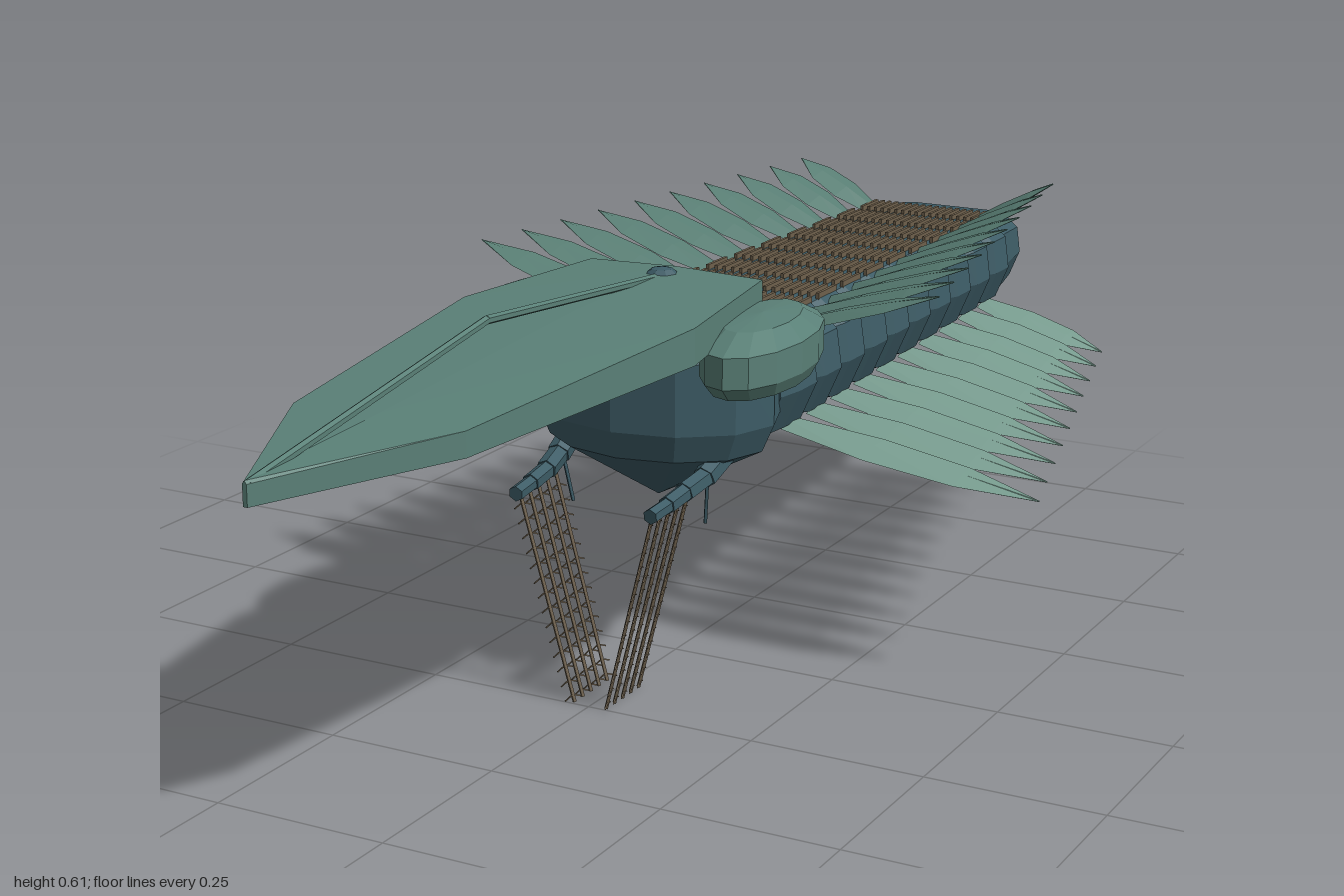
import * as THREE from 'three';
import { mergeGeometries } from 'three/addons/utils/BufferGeometryUtils.js';

const V = (x, y, z) => new THREE.Vector3(x, y, z);
const paint = (color) => new THREE.MeshStandardMaterial({ color, flatShading: true });

// Skin over closed cross-sections, ordered by rising z, each counter-clockwise seen from +z
function loft(rings) {
  const n = rings[0].length, pos = [];
  const tri = (...pts) => pts.forEach((p) => pos.push(p.x, p.y, p.z));
  for (let i = 0; i + 1 < rings.length; i++) {
    for (let j = 0; j < n; j++) {
      const k = (j + 1) % n;
      const [a, b, c, d] = [rings[i][j], rings[i][k], rings[i + 1][k], rings[i + 1][j]];
      tri(a, b, c);
      tri(a, c, d);
    }
  }
  const first = rings[0], last = rings[rings.length - 1];
  for (let j = 1; j + 1 < n; j++) {
    tri(first[0], first[j + 1], first[j]);
    tri(last[0], last[j], last[j + 1]);
  }
  const g = new THREE.BufferGeometry();
  g.setAttribute('position', new THREE.Float32BufferAttribute(pos, 3));
  g.computeVertexNormals();
  return g;
}

// Straight thin rod between two points
function rod(a, b, r, sides = 4) {
  const d = b.clone().sub(a);
  const g = new THREE.CylinderGeometry(r, r, d.length(), sides);
  g.applyQuaternion(new THREE.Quaternion().setFromUnitVectors(V(0, 1, 0), d.normalize()));
  return g.translate((a.x + b.x) / 2, (a.y + b.y) / 2, (a.z + b.z) / 2);
}

// Eight-sided trunk section of half width w
const trunkRing = (z, w, top, bottom) => {
  const h = top - bottom;
  return [[0.7, 1], [-0.7, 1], [-0.95, 0.8], [-1, 0.45], [-0.85, 0.1], [-0.5, 0], [0.5, 0], [0.85, 0.1], [1, 0.45], [0.95, 0.8]]
    .map(([x, y]) => V(x * w, bottom + y * h, z));
};

// Thin pointed blade along +z with a raised midrib
function bladeGeometry(length, half) {
  const ring = (t, w, th) => [V(w, 0, t * length), V(0, th, t * length), V(-w, 0, t * length), V(0, -th, t * length)];
  return loft([ring(0, half * 0.6, 0.006), ring(0.35, half, 0.007), ring(0.7, half * 0.85, 0.005), ring(1, 0.001, 0.001)]);
}

export function createModel() {
  const model = new THREE.Group();
  const skin = paint(0x3d5c66), shell = paint(0x5a8077), upperSkin = paint(0x587d73);
  const lowerSkin = paint(0x789c8f), hair = paint(0x6e604c);
  const add = (name, geometry, material) => {
    const mesh = new THREE.Mesh(geometry, material);
    mesh.name = name;
    model.add(mesh);
    return mesh;
  };

  const SEGMENTS = 10, step = 0.0867;
  const segZ = (i) => -0.075 - i * step;
  const mix = THREE.MathUtils.lerp;

  // Segmented trunk, swelling at each flap pair
  const rings = [trunkRing(-1, 0.115, 0.468, 0.35), trunkRing(-0.96, 0.122, 0.474, 0.345), trunkRing(-0.91, 0.13, 0.48, 0.34)];
  for (let i = SEGMENTS - 1; i >= 0; i--) {
    const t = i / (SEGMENTS - 1), z = segZ(i);
    const w = mix(0.172, 0.143, t), top = mix(0.494, 0.484, t), low = mix(0.33, 0.338, t);
    rings.push(trunkRing(z - 0.04, w - 0.014, top - 0.006, low + 0.004));
    rings.push(trunkRing(z - 0.026, w, top, low));
    rings.push(trunkRing(z + 0.026, w, top, low));
  }
  rings.push(trunkRing(0, 0.165, 0.495, 0.33));
  add('trunk', loft(rings), skin);

  // Head drum with a conical underside
  const headProfile = [[0, 0.255], [0.9, 0.34], [1, 0.38], [1, 0.48], [0.75, 0.515], [0, 0.52]];
  const headGeo = new THREE.LatheGeometry(headProfile.map(([x, y]) => new THREE.Vector2(x, y)), 12);
  add('head', headGeo.scale(0.18, 1, 0.135).translate(0, 0, 0.05), skin);

  // Long pointed head shield
  const shieldRing = (z, w, top, bottom) => [V(w, top, z), V(0, top + 0.004, z), V(-w, top, z), V(-w, bottom, z), V(w, bottom, z)];
  add('headShield', loft([
    shieldRing(0, 0.135, 0.568, 0.525),
    shieldRing(0.27, 0.175, 0.566, 0.516),
    shieldRing(0.73, 0.122, 0.542, 0.509),
    shieldRing(0.99, 0.003, 0.532, 0.505),
  ]), shell);

  // Raised keel above the shield, with a knob at its root
  const keelPath = [V(0, 0.565, 0.03), V(0, 0.605, 0.49), V(0, 0.53, 0.985)];
  add('shieldKeel', mergeGeometries([
    rod(keelPath[0], keelPath[1], 0.006, 6),
    rod(keelPath[1], keelPath[2], 0.006, 6),
  ]), shell);
  add('keelKnob', new THREE.SphereGeometry(0.025, 8, 5).scale(1, 0.6, 1).translate(0, 0.565, 0.04), skin);

  // Fine gill filaments in a band across every segment
  for (let i = 0; i < SEGMENTS; i++) {
    const t = i / (SEGMENTS - 1), count = 17, half = mix(0.118, 0.098, t);
    const filaments = [];
    for (let k = 0; k < count; k++) {
      const x = mix(-half, half, k / (count - 1));
      filaments.push(new THREE.BoxGeometry(0.005, 0.014, 0.06).translate(x, mix(0.495, 0.485, t), segZ(i)));
    }
    add('gillFilaments', mergeGeometries(filaments), hair);
  }

  const plateProfile = [[0, 0.455], [0.85, 0.455], [1, 0.475], [1, 0.518], [0.65, 0.54], [0, 0.545]]
    .map(([x, y]) => new THREE.Vector2(x, y));

  for (const s of [1, -1]) {
    const side = s > 0 ? 'left' : 'right';

    // Rounded cheek plate
    const plate = add(side + 'CheekPlate', new THREE.LatheGeometry(plateProfile, 14).scale(0.07, 1, 0.153), shell);
    plate.position.set(s * 0.175, 0, 0.077);
    plate.rotation.y = s * 0.12;

    // Two rows of swimming flaps, shortening toward the tail
    const flap = (name, root, tip, half, material) => {
      const mesh = add(name, bladeGeometry(root.distanceTo(tip), half), material);
      mesh.position.copy(root);
      mesh.lookAt(tip);
      mesh.rotateZ(s * 0.15);
    };
    for (let i = 0; i < SEGMENTS; i++) {
      const t = i / (SEGMENTS - 1), z = segZ(i);
      flap(side + 'LowerFlap', V(s * mix(0.14, 0.11, t), 0.345, z), V(s * mix(0.52, 0.32, t), 0.288, z), 0.037, lowerSkin);
      flap(side + 'UpperFlap', V(s * mix(0.13, 0.1, t), 0.485, z), V(s * mix(0.365, 0.225, t), 0.555, z), 0.035, upperSkin);
    }

    // Jointed feeding arm: short tapering links
    const arm = [V(s * 0.12, 0.34, 0.08), V(s * 0.115, 0.318, 0.13), V(s * 0.108, 0.308, 0.175), V(s * 0.106, 0.302, 0.22), V(s * 0.104, 0.298, 0.262)];
    const links = [];
    for (let k = 0; k + 1 < arm.length; k++) links.push(rod(arm[k], arm[k + 1], 0.017 - k * 0.002, 6));
    add(side + 'FeedingArm', mergeGeometries(links), skin);
    add(side + 'ArmSpur', rod(V(s * 0.115, 0.32, 0.12), V(s * 0.105, 0.245, 0.108), 0.003), skin);

    // Comb of long bristles, each lined with tiny spines
    for (let k = 0; k < 5; k++) {
      const top = V(s * 0.105, 0.305, 0.157 + k * 0.024), tip = V(s * 0.025, 0.005, 0.155 + k * 0.0225);
      const parts = [rod(top, tip, 0.003)];
      for (let j = 1; j <= 14; j++) {
        const p = top.clone().lerp(tip, j / 14.5);
        parts.push(rod(p, p.clone().add(V(s * 0.004, -0.006, 0.014)), 0.0012, 3));
        parts.push(rod(p, p.clone().add(V(-s * 0.004, -0.006, -0.014)), 0.0012, 3));
      }
      add(side + 'CombBristle', mergeGeometries(parts), hair);
    }
  }
  return model;
}
